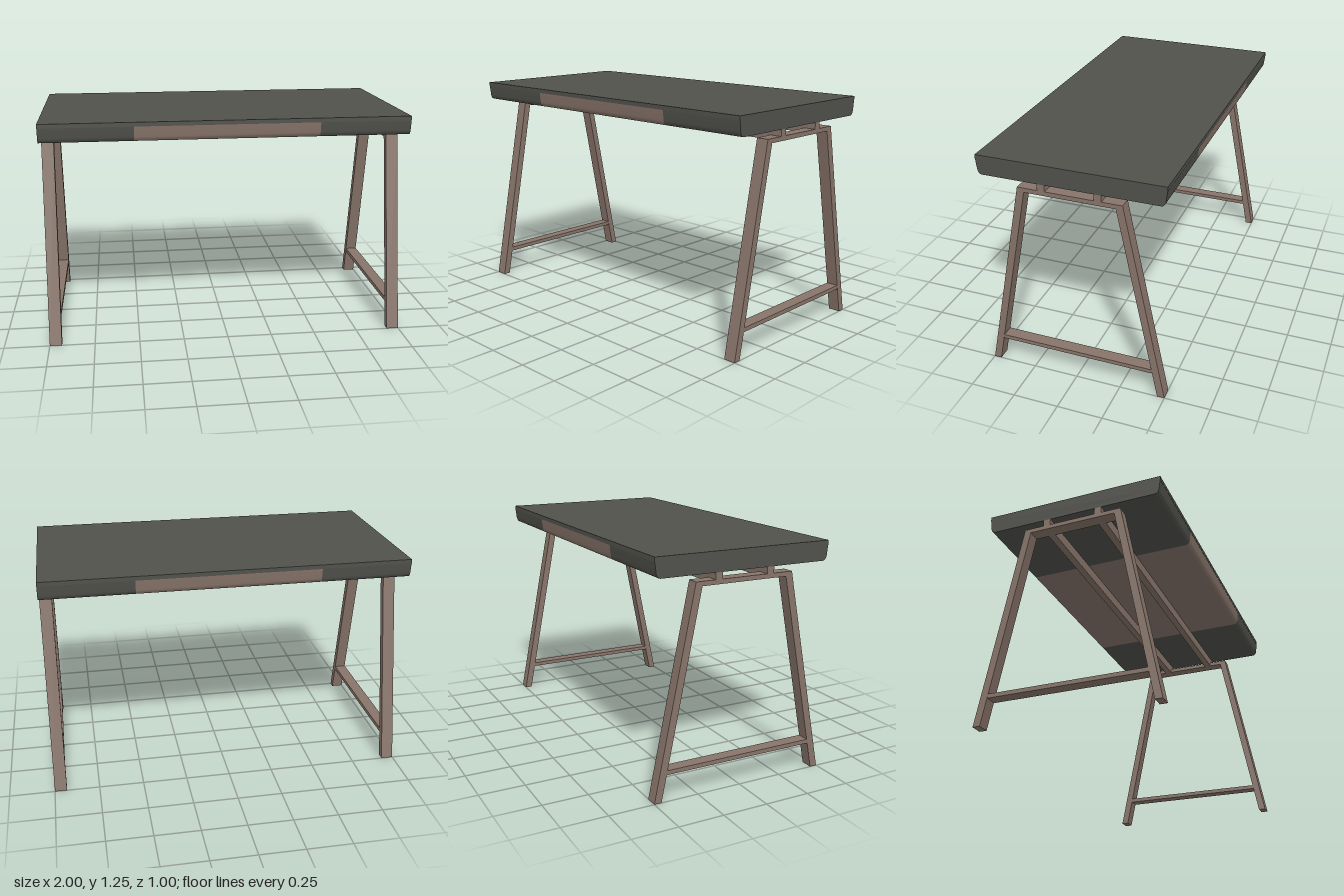
import * as THREE from 'three';
import { toCreasedNormals } from 'three/addons/utils/BufferGeometryUtils.js';

export function createModel() {
  const desk = new THREE.Group();
  desk.name = 'desk';

  const charcoal = new THREE.MeshStandardMaterial({ color: 0x50514b });
  charcoal.name = 'charcoal';
  const wood = new THREE.MeshStandardMaterial({ color: 0x87746a });
  wood.name = 'wood';

  const add = (name, geometry, material) => {
    const mesh = new THREE.Mesh(geometry, material);
    mesh.name = name;
    desk.add(mesh);
    return mesh;
  };

  // Box given by its lower and upper limits
  const box = (name, [x0, y0, z0], [x1, y1, z1], material) =>
    add(name, new THREE.BoxGeometry(x1 - x0, y1 - y0, z1 - z0), material)
      .position.set((x0 + x1) / 2, (y0 + y1) / 2, (z0 + z1) / 2);

  // Extrudes a (z, y) outline along x, from x0 to x1
  const extrudeX = (shape, x0, x1) =>
    new THREE.ExtrudeGeometry(shape, { depth: x1 - x0, bevelEnabled: false, curveSegments: 6 })
      .rotateY(-Math.PI / 2)
      .translate(x1, 0, 0);

  // Table top
  box('tableTop', [-1, 1.227, -0.5], [1, 1.25, 0.5], charcoal);

  // Drawer case with rounded lower edges, in three sections
  const profile = new THREE.Shape();
  profile.moveTo(-0.499, 1.227);
  profile.lineTo(-0.493, 1.175);
  profile.quadraticCurveTo(-0.489, 1.147, -0.47, 1.145);
  profile.lineTo(0.47, 1.145);
  profile.quadraticCurveTo(0.489, 1.147, 0.493, 1.175);
  profile.lineTo(0.499, 1.227);
  profile.closePath();
  const sections = [
    ['rightCase', -1, -0.5, charcoal],
    ['drawer', -0.5, 0.5, wood],
    ['leftCase', 0.5, 1, charcoal],
  ];
  for (const [name, x0, x1, material] of sections) {
    add(name, toCreasedNormals(extrudeX(profile, x0, x1), 0.7), material);
  }

  // Trestle frames at both ends
  for (const side of [-1, 1]) {
    const prefix = side > 0 ? 'left' : 'right';
    const x0 = side > 0 ? 0.933 : -1;
    const x1 = x0 + 0.067;
    for (const s of [-1, 1]) {
      const leg = new THREE.Shape([
        new THREE.Vector2(s * 0.5, 0),
        new THREE.Vector2(s * 0.278, 1.11),
        new THREE.Vector2(s * 0.238, 1.11),
        new THREE.Vector2(s * 0.46, 0),
      ]);
      add(prefix + (s > 0 ? 'FrontLeg' : 'BackLeg'), extrudeX(leg, x0, x1), wood);
    }
    box(prefix + 'CrossBar', [x0, 1.086, -0.243], [x1, 1.11, 0.243], wood);
    box(prefix + 'Stretcher', [x0, 0.145, -0.429], [x1, 0.168, 0.429], wood);
  }

  // Long rails, notched over the cross bars
  for (const s of [-1, 1]) {
    const z = s * 0.149;
    const rail = new THREE.Shape([
      new THREE.Vector2(-0.933, 1.086),
      new THREE.Vector2(0.933, 1.086),
      new THREE.Vector2(0.933, 1.11),
      new THREE.Vector2(1, 1.11),
      new THREE.Vector2(1, 1.145),
      new THREE.Vector2(-1, 1.145),
      new THREE.Vector2(-1, 1.11),
      new THREE.Vector2(-0.933, 1.11),
    ]);
    const geometry = new THREE.ExtrudeGeometry(rail, { depth: 0.04, bevelEnabled: false });
    add(s > 0 ? 'frontRail' : 'backRail', geometry.translate(0, 0, z - 0.02), wood);
  }

  return desk;
}
